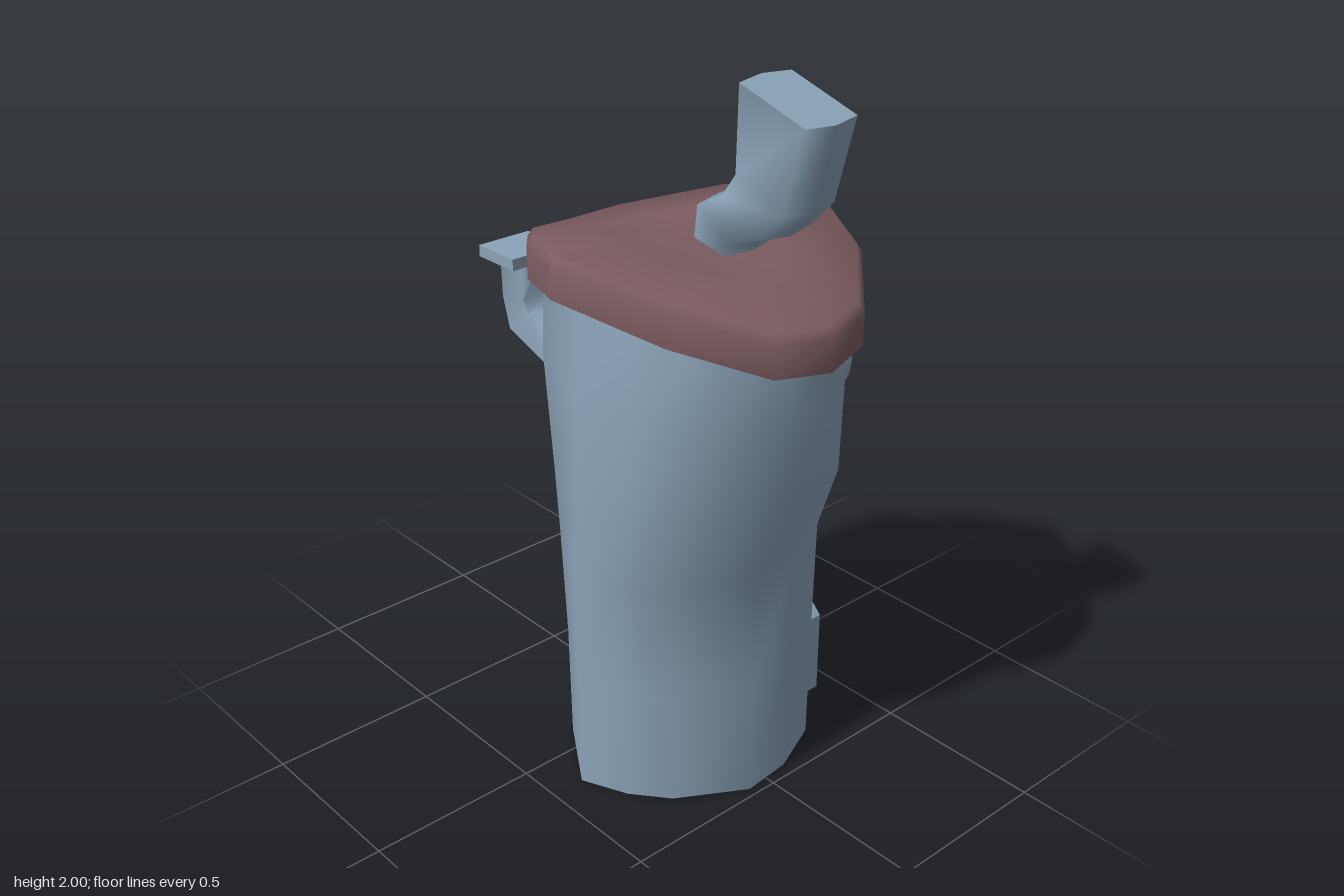
import * as THREE from 'three';
import { toCreasedNormals } from 'three/addons/utils/BufferGeometryUtils.js';

const flatColour = (name, color, side = THREE.FrontSide) => {
  const m = new THREE.MeshStandardMaterial({ color, side });
  m.name = name;
  return m;
};

// Skin a series of closed rings of [x, y, z]; an end is closed when given a cap centre.
function loft(rings, bottomCap, topCap, crease) {
  const n = rings[0].length;
  const pos = rings.flat(2);
  const index = [];
  for (let r = 0; r < rings.length - 1; r++) {
    for (let i = 0; i < n; i++) {
      const j = (i + 1) % n;
      const a = r * n + i, b = r * n + j, c = b + n, d = a + n;
      index.push(a, d, b, b, d, c);
    }
  }
  const addCap = (centre, start, up) => {
    const k = pos.length / 3;
    pos.push(...centre);
    for (let i = 0; i < n; i++) {
      const a = start + i, b = start + (i + 1) % n;
      index.push(k, up ? b : a, up ? a : b);
    }
  };
  if (bottomCap) addCap(bottomCap, 0, false);
  if (topCap) addCap(topCap, (rings.length - 1) * n, true);
  const g = new THREE.BufferGeometry();
  g.setAttribute('position', new THREE.Float32BufferAttribute(pos, 3));
  g.setIndex(index);
  return toCreasedNormals(g, crease);
}

// Six-sided bent pipe. Each section is [z, y] of its two ridge points, p then q.
function bentPipe(sections, cx, w, bulge) {
  const rings = sections.map(([pz, py, qz, qy]) => {
    const len = Math.hypot(qz - pz, qy - py);
    const dz = (qz - pz) / len * bulge, dy = (qy - py) / len * bulge;
    return [
      [cx + w, qy - dy, qz - dz], [cx, qy, qz], [cx - w, qy - dy, qz - dz],
      [cx - w, py + dy, pz + dz], [cx, py, pz], [cx + w, py + dy, pz + dz],
    ];
  });
  const mid = ([pz, py, qz, qy]) => [cx, (py + qy) / 2, (pz + qz) / 2];
  return loft(rings, mid(sections[0]), mid(sections[sections.length - 1]), 1.45);
}

// Arched outline with cut corners, used by the door
function archPoints(w, y0, y1, cut) {
  return [[-w, y0], [w, y0], [w, y1 - cut], [w - cut, y1], [-w + cut, y1], [-w, y1 - cut]]
    .map(([x, y]) => new THREE.Vector2(x, y));
}

export function createModel() {
  const model = new THREE.Group();
  const stone = flatColour('blue grey stone', 0x8ba3b8);
  const wall = flatColour('blue grey wall', 0x8ba3b8, THREE.DoubleSide);
  const roofRed = flatColour('dull red roof', 0x7c5c60);
  const glass = flatColour('pale glass', 0xc6cac6);
  const add = (parent, name, geo, mat) => {
    const m = new THREE.Mesh(geo, mat);
    m.name = name;
    parent.add(m);
    return m;
  };

  // Tower wall: sections [y, xMin, xMax, zMin, zMax], open below.
  // The foot is blunt on +x and tapers to -x; it becomes an oval higher up.
  const foot = [
    [1, 0], [0.95, 0.5], [0.76, 0.74], [0.31, 0.955], [-0.1, 1], [-0.62, 0.66],
    [-0.84, 0.36], [-1, -0.04], [-0.64, -0.65], [-0.32, -0.86], [0.03, -1], [0.44, -0.95],
    [0.86, -0.7], [0.98, -0.34],
  ];
  const levels = [
    [0, -0.4, 0.335, -0.19, 0.475], [0.35, -0.4, 0.36, -0.188, 0.465],
    [0.68, -0.4, 0.39, -0.205, 0.457], [0.88, -0.4, 0.398, -0.232, 0.54],
    [1.2, -0.4, 0.39, -0.262, 0.57], [1.5, -0.365, 0.36, -0.29, 0.57],
  ];
  const wallRings = levels.map(([y, x0, x1, z0, z1], k) => foot.map(([fx, fz]) => {
    const t = Math.min(1, y / 1.1), r = Math.hypot(fx, fz);
    const u = THREE.MathUtils.lerp(fx, fx / r, t), v = THREE.MathUtils.lerp(fz, fz / r, t);
    const drop = k === levels.length - 1 ? 0.12 * Math.abs(v) : 0; // rim follows the roof
    return [(x0 + x1) / 2 + u * (x1 - x0) / 2, y - drop, (z0 + z1) / 2 + v * (z1 - z0) / 2];
  }));
  add(model, 'towerWall', loft(wallRings, null, null, 1.2), wall);

  // Roof: saddle-shaped slab, outline as [x, lower edge y, z]
  const outline = [
    [0.46, 1.485, 0.135], [0.355, 1.405, 0.41], [0.155, 1.35, 0.605], [0, 1.335, 0.645],
    [-0.16, 1.35, 0.605], [-0.33, 1.415, 0.4], [-0.462, 1.495, 0.13], [-0.35, 1.45, -0.11],
    [-0.16, 1.365, -0.355], [0, 1.352, -0.375], [0.155, 1.365, -0.345], [0.35, 1.44, -0.11],
  ];
  const peak = [0, 1.565, 0.135];
  const roofRing = (scale, lift, blend = 0) => outline.map(([x, y, z]) => [
    x * scale, THREE.MathUtils.lerp(y + lift, peak[1], blend), peak[2] + (z - peak[2]) * scale]);
  add(model, 'roof', loft(
    [roofRing(0.9, 0), roofRing(1, 0), roofRing(1, 0.09), roofRing(0.965, 0.115), roofRing(0.5, 0.125, 0.55)],
    [0, 1.45, 0.135], peak, 1.1), roofRed);

  // Crooked chimney
  add(model, 'chimney', bentPipe([
    [0.15, 1.54, 0.29, 1.52], [0.165, 1.66, 0.3, 1.565], [0.25, 1.7, 0.42, 1.61],
    [0.3, 1.77, 0.495, 1.69], [0.305, 2, 0.557, 1.925],
  ], 0.07, 0.09, 0.015), stone);

  // Bent pipe at the back with a flat lid
  add(model, 'backPipe', bentPipe([
    [-0.2, 0.935, -0.2, 1.15], [-0.42, 1.01, -0.4, 1.15], [-0.59, 1.07, -0.48, 1.15],
    [-0.62, 1.17, -0.505, 1.19], [-0.625, 1.31, -0.505, 1.31],
  ], 0, 0.065, 0.008), stone);
  add(model, 'pipeLid', new THREE.BoxGeometry(0.18, 0.035, 0.16), stone)
    .position.set(-0.025, 1.315, -0.57);

  // Oval windows: thick puffed rim with a pale pane
  const rim = [[0.88, -0.13], [1, -0.07], [1, 0], [0.94, 0.035], [0.82, 0.05], [0.68, 0.045], [0, 0.04]]
    .map(([x, y]) => new THREE.Vector2(x, y));
  const oval = (parent, rx, ry, paneW, paneH, depth, sides) => {
    const g = new THREE.LatheGeometry(rim, sides).rotateX(Math.PI / 2).scale(rx, ry, depth);
    add(parent, 'windowRim', g, stone);
    add(parent, 'windowPane', new THREE.BoxGeometry(paneW, paneH, 0.009), glass)
      .position.z = 0.046 * depth;
  };
  for (const [name, x, y, z, turn] of [
    ['upperWindow', 0.345, 1.195, 0.293, 66], ['lowerWindow', 0.367, 0.967, 0, 108]]) {
    const w = new THREE.Group();
    w.name = name;
    w.position.set(x, y, z);
    w.rotation.set(0, turn * Math.PI / 180, -0.1);
    oval(w, 0.112, 0.14, 0.118, 0.14, 1, 14);
    model.add(w);
  }

  // Door: framed arch with a recessed panel and a small round window
  const door = new THREE.Group();
  door.name = 'door';
  door.position.set(0.28, 0.005, 0.147);
  door.rotation.y = Math.PI / 2;
  const frame = new THREE.Shape(archPoints(0.113, 0, 0.31, 0.05));
  frame.holes.push(new THREE.Path(archPoints(0.095, 0.015, 0.292, 0.045)));
  add(door, 'doorFrame', new THREE.ExtrudeGeometry(frame, { depth: 0.148, bevelEnabled: false }), stone);
  add(door, 'doorPanel', new THREE.ExtrudeGeometry(new THREE.Shape(archPoints(0.1, 0.005, 0.297, 0.045)),
    { depth: 0.125, bevelEnabled: false }), stone);
  const peep = new THREE.Group();
  peep.name = 'doorWindow';
  peep.position.set(0, 0.195, 0.125);
  oval(peep, 0.054, 0.05, 0.058, 0.05, 0.36, 8);
  door.add(peep);
  model.add(door);

  return model;
}
